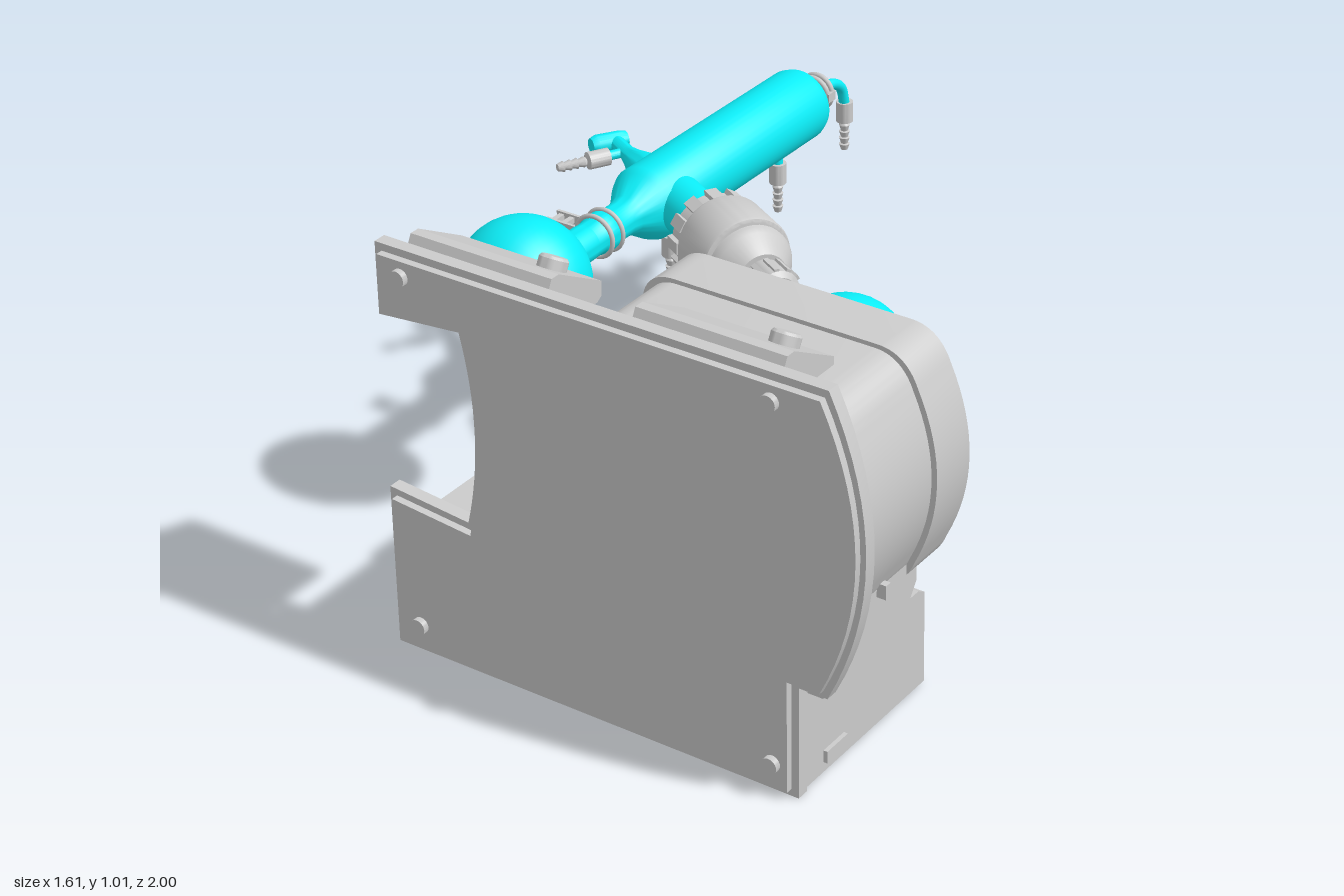
import * as THREE from 'three';
import { toCreasedNormals } from 'three/addons/utils/BufferGeometryUtils.js';

const grey = new THREE.MeshStandardMaterial({ color: 0xcccccc, side: THREE.DoubleSide });
const glass = new THREE.MeshStandardMaterial({ color: 0x0ceef8, side: THREE.DoubleSide });
const V2 = (p) => new THREE.Vector2(p[0], p[1]);
const UP = new THREE.Vector3(0, 1, 0);
const AXIS_Y = 0.625;

function add(parent, name, geo, mat = grey, pos = [0, 0, 0]) {
  const mesh = new THREE.Mesh(geo, mat);
  mesh.name = name;
  mesh.position.set(...pos);
  parent.add(mesh);
  return mesh;
}
function box(parent, name, x0, x1, y0, y1, z0, z1) {
  return add(parent, name, new THREE.BoxGeometry(x1 - x0, y1 - y0, z1 - z0), grey,
    [(x0 + x1) / 2, (y0 + y1) / 2, (z0 + z1) / 2]);
}
// Group whose local +y points along dir
function axisGroup(parent, name, pos, dir) {
  const g = new THREE.Group();
  g.name = name;
  g.position.set(...pos);
  g.quaternion.setFromUnitVectors(UP, new THREE.Vector3(...dir).normalize());
  parent.add(g);
  return g;
}
// Turned part from [radius, height] pairs, lowest first
function turned(parent, name, pts, mat = grey, sides = 40) {
  const geo = new THREE.LatheGeometry(pts.map(V2), sides);
  return add(parent, name, toCreasedNormals(geo, 0.6), mat);
}
// Side profile in [z, y] swept from x0 to x1
function sweepX(parent, name, pts, x0, x1) {
  const shape = new THREE.Shape(pts.map(([z, y]) => new THREE.Vector2(-z, y)));
  const geo = new THREE.ExtrudeGeometry(shape, { depth: x1 - x0, bevelEnabled: false });
  return add(parent, name, geo.rotateY(Math.PI / 2), grey, [x0, 0, 0]);
}
function slabZ(parent, name, shape, z0, z1) {
  const geo = new THREE.ExtrudeGeometry(shape, { depth: z1 - z0, bevelEnabled: false, curveSegments: 16 });
  return add(parent, name, toCreasedNormals(geo, 0.5), grey, [0, 0, z0]);
}
// Arc of a sphere profile between two polar angles
function ballArc(r, cy, a0, a1, n = 20) {
  return Array.from({ length: n + 1 }, (_, i) => {
    const a = a0 + ((a1 - a0) * i) / n;
    return [Math.max(0, r * Math.sin(a)), cy - r * Math.cos(a)];
  });
}
function ring(parent, name, r, tube, y) {
  const m = add(parent, name, new THREE.TorusGeometry(r, tube, 8, 32), grey, [0, y, 0]);
  m.rotation.x = Math.PI / 2;
}
// Ribbed hose connector running along dir
function hoseNozzle(parent, pos, dir) {
  const g = axisGroup(parent, 'hoseNozzle', pos, dir);
  const pts = [[0, 0], [0.022, 0], [0.022, 0.055], [0.01, 0.06]];
  for (let i = 0; i < 4; i++) {
    const y = 0.066 + i * 0.018;
    pts.push([0.014, y], [0.009, y + 0.016]);
  }
  pts.push([0, 0.137]);
  turned(g, 'hoseBarb', pts, grey, 20);
}
function plateShape(d) {
  const s = new THREE.Shape();
  s.moveTo(-0.43 + d, d);
  s.lineTo(0.64 - d, d);
  s.lineTo(0.64 - d, 0.28 + d);
  s.lineTo(0.71 - d / 2, 0.28 + d);
  s.quadraticCurveTo(0.89 - d, 0.645, 0.71 - d / 2, 1.01 - d);
  s.lineTo(-0.43 + d, 1.01 - d);
  s.lineTo(-0.43 + d, 0.835 + d);
  s.lineTo(-0.215 + d, 0.855 + d);
  s.quadraticCurveTo(-0.155 + d, 0.62, -0.215 + d, 0.385 - d);
  s.lineTo(-0.43 + d, 0.405 - d);
  s.closePath();
  return s;
}
// Bath outline: straight inner side, bulged outer side, scaled about its centre
function bathShape(k, Type = THREE.Shape) {
  const s = new Type();
  const P = (x, y) => [0.365 + (x - 0.365) * k, 0.63 + (y - 0.63) * k];
  s.moveTo(...P(0.09, 0.34));
  s.lineTo(...P(0.6, 0.34));
  s.quadraticCurveTo(...P(0.67, 0.34), ...P(0.7, 0.42));
  s.quadraticCurveTo(...P(0.8, 0.63), ...P(0.7, 0.84));
  s.quadraticCurveTo(...P(0.67, 0.915), ...P(0.6, 0.915));
  s.lineTo(...P(0.09, 0.915));
  s.quadraticCurveTo(...P(0.01, 0.915), ...P(0.005, 0.83));
  s.quadraticCurveTo(...P(-0.01, 0.63), ...P(0.005, 0.42));
  s.quadraticCurveTo(...P(0.01, 0.34), ...P(0.09, 0.34));
  return s;
}
function bathBowl() {
  const rows = 14, verts = [], idx = [];
  let n = 0;
  for (let j = 0; j <= rows; j++) {
    const a = (j / rows) * Math.PI / 2;
    const loop = bathShape(0.87 * (0.45 * Math.cos(a) + 0.55 * Math.sqrt(Math.cos(a) + 1e-9))).getPoints(10);
    n = loop.length;
    loop.forEach((p) => verts.push(p.x, p.y, 0.455 + 0.41 * Math.sin(a)));
  }
  for (let j = 0; j < rows; j++) for (let i = 0; i < n - 1; i++) {
    const a = j * n + i, b = a + n;
    idx.push(a, a + 1, b, a + 1, b + 1, b);
  }
  const geo = new THREE.BufferGeometry();
  geo.setAttribute('position', new THREE.Float32BufferAttribute(verts, 3));
  geo.setIndex(idx);
  geo.computeVertexNormals();
  return geo;
}

export function createModel() {
  const model = new THREE.Group();
  model.name = 'rotaryEvaporator';

  // Front plate with four feet
  slabZ(model, 'plateBack', plateShape(0), 0.93, 0.962);
  slabZ(model, 'plateFront', plateShape(0.018), 0.962, 0.98);
  for (const x of [-0.35, 0.585]) for (const y of [0.08, 0.955]) {
    turned(axisGroup(model, 'foot', [x, y, 0.975], [0, 0, 1]), 'footPad', [[0, 0], [0.02, 0], [0.02, 0.02], [0, 0.02]], grey, 24);
  }

  // Bases
  sweepX(model, 'driveBase', [[0.94, 0.004], [0.94, 0.25], [-0.23, 0.25], [-0.26, 0.004]], -0.35, -0.006);
  sweepX(model, 'bathBase', [[0.94, 0.004], [0.94, 0.255], [0.485, 0.255], [0.46, 0.24], [0.455, 0.004]], 0, 0.635);
  box(model, 'liftHousing', -0.35, -0.008, 0.25, 0.39, 0.2, 0.58);
  box(model, 'liftRail', -0.335, -0.06, 0.25, 0.375, 0.58, 0.94);
  box(model, 'liftSlot', -0.2, -0.15, 0.38, 0.397, 0.35, 0.72);
  turned(axisGroup(model, 'liftPin', [-0.175, 0.385, 0.36], [0, 1, 0]), 'pin', [[0, 0], [0.026, 0], [0.026, 0.014], [0, 0.014]], grey, 24);
  box(model, 'powerSwitch', 0.63, 0.645, 0.03, 0.06, 0.78, 0.86);
  const knob = axisGroup(model, 'clampKnob', [-0.01, 0.125, -0.045], [1, 0, 0]);
  turned(knob, 'knobStem', [[0, 0], [0.014, 0], [0.014, 0.03], [0, 0.03]], grey, 20);
  turned(knob, 'knobGrip', [[0, 0.025], [0.03, 0.025], [0.03, 0.052], [0, 0.052]], grey, 8);

  // Heating bath
  const bath = new THREE.Group();
  bath.name = 'bath';
  model.add(bath);
  for (const [name, k, hole, z0, z1] of [['bathLip', 0.93, 0.87, 0.455, 0.49], ['bathRim', 1, 0.87, 0.48, 0.61], ['bathBody', 0.965, 0.87, 0.61, 0.9]]) {
    const s = bathShape(k);
    s.holes.push(bathShape(hole, THREE.Path));
    slabZ(bath, name, s, z0, z1);
  }
  slabZ(bath, 'bathBack', bathShape(0.95), 0.885, 0.94);
  add(bath, 'bathBowl', bathBowl());
  sweepX(bath, 'bathUnderside', [[0.93, 0.25], [0.93, 0.42], [0.57, 0.42], [0.57, 0.345], [0.62, 0.275]], 0.03, 0.68);
  box(bath, 'bathTopRidge', 0.14, 0.61, 0.86, 0.9, 0.66, 0.93);
  box(bath, 'socket', 0.66, 0.705, 0.38, 0.44, 0.81, 0.86);
  box(bath, 'button', 0.66, 0.703, 0.39, 0.425, 0.71, 0.728);

  // Sloping control panels with dials
  for (const x of [-0.395, 0.19]) {
    const panel = new THREE.Group();
    panel.name = 'controlPanel';
    model.add(panel);
    sweepX(panel, 'panelBody', [[0.9, 0.88], [0.925, 0.93], [0.885, 1.005], [0.86, 1.005], [0.715, 0.925], [0.715, 0.89], [0.73, 0.88]], x, x + 0.372);
    box(panel, 'panelMount', x + 0.03, x + 0.345, 0.885, 0.965, 0.88, 0.94);
    turned(axisGroup(panel, 'dial', [x + 0.308, 0.968, 0.805], [0, 0.87, -0.49]), 'dialKnob',
      [[0, 0], [0.033, 0], [0.033, 0.028], [0.028, 0.034], [0, 0.034]], grey, 28);
  }

  // Pedestal and arched yoke, turned to the drive axis
  const tilt = -Math.atan2(0.49, 0.87);
  const ped = new THREE.Shape();
  const a = 0.13, b = 0.115, r = 0.04;
  ped.moveTo(-a, -b);
  ped.lineTo(a - r, -b);
  ped.quadraticCurveTo(a, -b, a, -b + r);
  ped.lineTo(a, b - r);
  ped.quadraticCurveTo(a, b, a - r, b);
  ped.lineTo(-a, b);
  const pedGeo = new THREE.ExtrudeGeometry(ped, { depth: 0.16, bevelEnabled: true, bevelSize: 0.008, bevelThickness: 0.008, bevelSegments: 2 });
  add(model, 'pedestal', toCreasedNormals(pedGeo.rotateX(-Math.PI / 2), 0.5), grey, [-0.22, 0.25, -0.025]).rotation.y = tilt;
  const arch = new THREE.Shape();
  arch.moveTo(-0.105, -0.21);
  arch.lineTo(0.105, -0.21);
  arch.lineTo(0.105, 0.01);
  arch.absarc(0, 0.01, 0.105, 0, Math.PI, false);
  const archGeo = new THREE.ExtrudeGeometry(arch, { depth: 0.12, bevelSize: 0.01, bevelThickness: 0.01, bevelSegments: 2, curveSegments: 24 });
  archGeo.translate(0, 0, -0.06).rotateY(Math.PI / 2);
  add(model, 'yoke', toCreasedNormals(archGeo, 0.5), grey, [-0.175, AXIS_Y, 0]).rotation.y = tilt;

  // Rotary drive along its slanted axis
  const drive = axisGroup(model, 'rotaryDrive', [-0.17, AXIS_Y, 0], [0.87, 0, 0.49]);
  turned(drive, 'driveHousing', [[0, -0.14], [0.095, -0.14], [0.1, -0.07], [0.108, -0.06], [0.108, 0.075], [0.1, 0.09], [0.065, 0.135], [0, 0.135]]);
  turned(drive, 'collar', [[0, -0.145], [0.09, -0.145], [0.1, -0.135], [0.1, -0.085], [0, -0.085]]);
  for (let i = 0; i < 12; i++) {
    const t = (i / 12) * Math.PI * 2;
    const rib = add(drive, 'collarRib', new THREE.BoxGeometry(0.022, 0.05, 0.03), grey, [Math.cos(t) * 0.1, -0.112, Math.sin(t) * 0.1]);
    rib.rotation.y = -t;
    const nutRib = add(drive, 'nutRib', new THREE.BoxGeometry(0.012, 0.06, 0.012), grey, [Math.cos(t) * 0.058, 0.18, Math.sin(t) * 0.058]);
    nutRib.rotation.y = -t;
  }
  turned(drive, 'lockNut', [[0, 0.13], [0.052, 0.13], [0.058, 0.15], [0.058, 0.21], [0.045, 0.22], [0, 0.22]]);
  turned(drive, 'flaskNeckJoint', [[0.03, 0.2], [0.03, 0.24], [0.038, 0.245], [0.038, 0.265], [0.03, 0.27], [0.03, 0.3]], glass);
  for (const y of [0.235, 0.272]) ring(drive, 'flaskClip', 0.04, 0.006, y);
  box(drive, 'flaskClipBar', -0.012, 0.012, 0.23, 0.277, 0.036, 0.05);
  turned(drive, 'evaporatingFlask', [[0.032, 0.28], [0.036, 0.32], [0.05, 0.355], [0.078, 0.395], [0.105, 0.432], ...ballArc(0.147, 0.542, 0.9, Math.PI)], glass);

  // Vapour tube through the condenser, side branch and tap
  turned(drive, 'vapourTube', [[0, -0.42], [0.066, -0.42], [0.066, -0.12], [0, -0.12]], glass);
  turned(drive, 'sideBranch', [[0, -0.67], [0.02, -0.67], [0.02, -0.6], [0.028, -0.56], [0.045, -0.5], [0.05, -0.4]], glass);
  const tap = axisGroup(model, 'tap', [-0.765, AXIS_Y, -0.32], [0.49, 0, -0.87]);
  turned(tap, 'tapHandle', [[0, -0.05], [0.02, -0.05], [0.026, -0.035], [0.024, 0.03], [0.02, 0.045], [0, 0.05]], glass, 24);
  const tapArm = axisGroup(model, 'tapOutlet', [-0.7, AXIS_Y, -0.3], [-0.49, 0, 0.87]);
  turned(tapArm, 'tapOutletTube', [[0.012, 0], [0.012, 0.06]], glass, 20);
  hoseNozzle(model, [-0.722, AXIS_Y, -0.255], [-0.49, 0, 0.87]);

  // Condenser and receiving flask on one axis along z
  const cond = axisGroup(model, 'condenser', [-0.5, AXIS_Y, 0], [0, 0, 1]);
  turned(cond, 'condenserBody', [[0.03, -0.86], [0.03, -0.805], [0.04, -0.79], [0.07, -0.782], [0.088, -0.77], [0.094, -0.75], [0.094, -0.1],
    [0.085, -0.08], [0.05, -0.025], [0.044, 0], [0.044, 0.055], [0.05, 0.065], [0.05, 0.1], [0.044, 0.11], [0.044, 0.15]], glass);
  turned(cond, 'receivingFlask', [[0.04, 0.1], [0.045, 0.15], [0.045, 0.22], ...ballArc(0.16, 0.378, 0.32, Math.PI, 24)], glass);
  for (const y of [0.062, 0.103]) ring(cond, 'receiverClip', 0.052, 0.006, y);
  for (const y of [-0.83, -0.85]) ring(cond, 'topClip', 0.044, 0.007, y);
  for (const x of [-0.045, 0.045]) box(cond, 'topClipBar', x - 0.006, x + 0.006, -0.856, -0.824, -0.012, 0.012);
  // Clip screw beside the receiver joint
  for (const y of [0.06, 0.105]) box(cond, 'clipArm', -0.14, -0.045, y - 0.004, y + 0.004, -0.012, 0.012);
  for (const x of [-0.125, -0.095]) box(cond, 'clipScrew', x - 0.007, x + 0.007, 0.06, 0.105, -0.007, 0.007);

  // Bent outlet tube at the top end and the hanging hose connectors
  const bend = new THREE.CatmullRomCurve3([[0, -0.8], [0, -0.87], [-0.008, -0.92], [-0.035, -0.96], [-0.09, -0.978]]
    .map(([y, z]) => new THREE.Vector3(-0.5, AXIS_Y + y, z)));
  add(model, 'bentOutlet', new THREE.TubeGeometry(bend, 24, 0.014, 14), glass);
  hoseNozzle(model, [-0.5, 0.545, -0.978], [0, -1, 0]);
  for (const z of [-0.2, -0.668]) {
    add(model, 'waterPort', new THREE.CylinderGeometry(0.013, 0.013, 0.08, 20), glass, [-0.5, 0.525, z]);
    hoseNozzle(model, [-0.5, 0.497, z], [0, -1, 0]);
  }
  return model;
}
